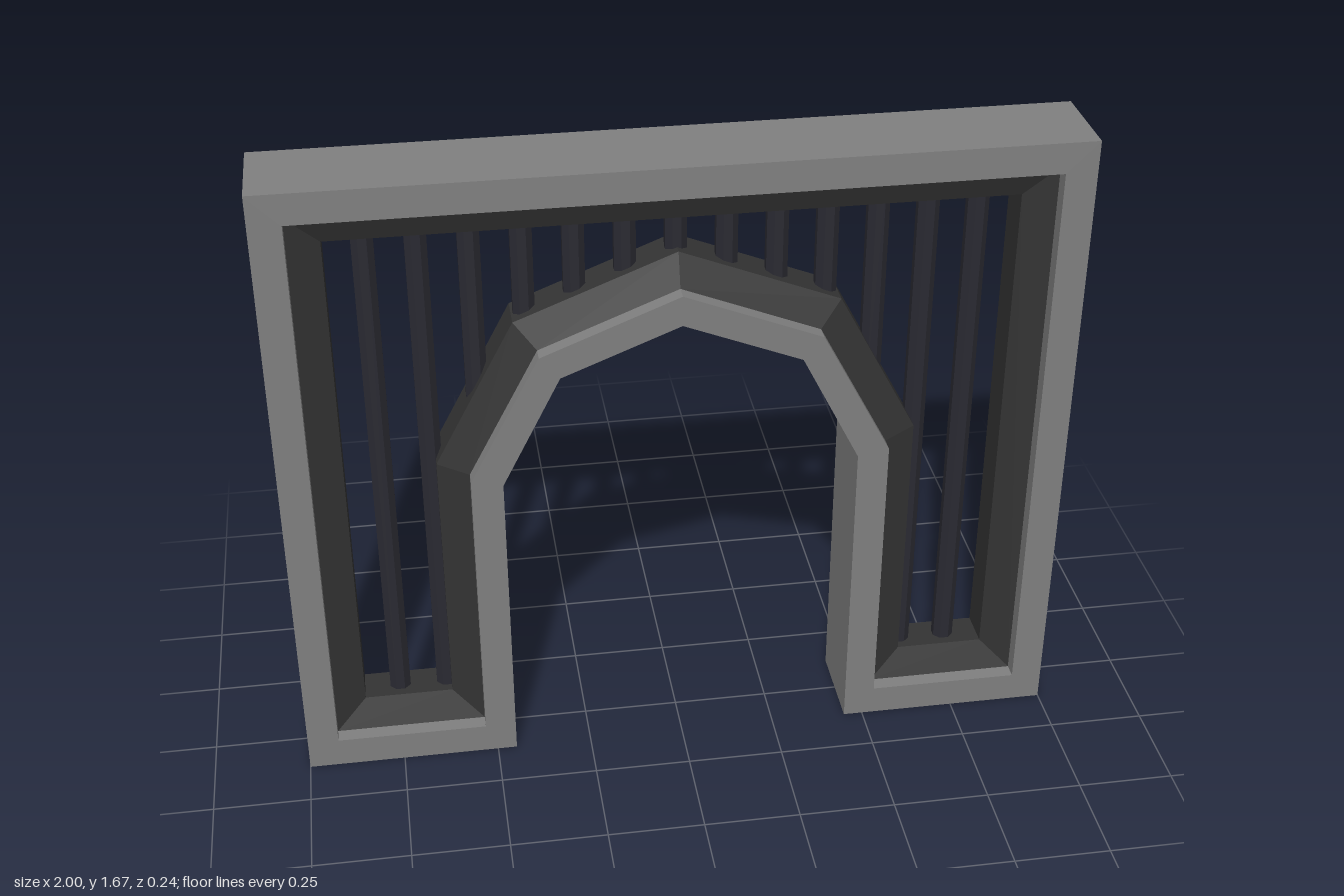
import * as THREE from 'three';

// Closed gateway outline: half the inner arch, mirrored, then the two top corners
function outline(outerX, bottom, top, arch) {
  const left = [[-outerX, bottom], ...arch.map(([x, y]) => [-x, y])];
  const right = left.slice().reverse().map(([x, y]) => [-x, y]);
  return [...left, ...right.slice(1), [outerX, top], [-outerX, top]];
}

const outer = outline(1, 0, 1.67, [[0.45, 0], [0.45, 0.84], [0.3, 1.135], [0, 1.255]]);
const opening = outline(0.92, 0.08, 1.59, [[0.53, 0.08], [0.53, 0.855], [0.35, 1.195], [0, 1.335]]);
const inset = outline(0.84, 0.16, 1.51, [[0.61, 0.16], [0.61, 0.875], [0.405, 1.26], [0, 1.42]]);

// Flat-shaded skin over a series of loops, each given as [points, z]
function loft(loops) {
  const pos = [];
  for (let k = 0; k < loops.length - 1; k++) {
    const [a, za] = loops[k];
    const [b, zb] = loops[k + 1];
    for (let i = 0; i < a.length; i++) {
      const j = (i + 1) % a.length;
      const p = [...a[i], za], q = [...a[j], za], r = [...b[j], zb], s = [...b[i], zb];
      pos.push(...p, ...q, ...r, ...p, ...r, ...s);
    }
  }
  const geo = new THREE.BufferGeometry();
  geo.setAttribute('position', new THREE.Float32BufferAttribute(pos, 3));
  geo.computeVertexNormals();
  return geo;
}

// Height where a bar at x meets the middle of the inner trim
function barBottom(x) {
  const ax = Math.abs(x);
  const pts = [[0, 1.375], [0.375, 1.23], [0.57, 0.865]];
  for (let i = 0; i < 2; i++) {
    const [x0, y0] = pts[i], [x1, y1] = pts[i + 1];
    if (ax <= x1) return y0 + ((y1 - y0) * (ax - x0)) / (x1 - x0);
  }
  return 0.12;
}

export function createModel() {
  const group = new THREE.Group();
  const add = (name, geo, mat, parent = group) => {
    const mesh = new THREE.Mesh(geo, mat);
    mesh.name = name;
    parent.add(mesh);
    return mesh;
  };
  const stone = new THREE.MeshStandardMaterial({ color: 0x808080, flatShading: true });
  const dark = new THREE.MeshStandardMaterial({ color: 0x333333, flatShading: true });
  const iron = new THREE.MeshStandardMaterial({ color: 0x2a2a32, flatShading: true });

  // Outer frame with an arched doorway
  const toVec = (pts) => pts.map(([x, y]) => new THREE.Vector2(x, y));
  const shape = new THREE.Shape(toVec(outer));
  shape.holes.push(new THREE.Path(toVec(opening)));
  const frameGeo = new THREE.ExtrudeGeometry(shape, { depth: 0.24, bevelEnabled: false });
  frameGeo.translate(0, 0, -0.12);
  add('outerFrame', frameGeo, stone);

  // Recessed trim, bevelled towards the opening on both faces
  add('innerTrim', loft([[opening, 0.08], [inset, 0.05], [inset, -0.05], [opening, -0.08]]), dark);

  // Vertical bars
  const bars = new THREE.Group();
  bars.name = 'bars';
  group.add(bars);
  const top = 1.55;
  for (let i = -6; i <= 6; i++) {
    const x = i * 0.1243;
    const y = barBottom(x);
    const geo = new THREE.CylinderGeometry(0.029, 0.029, top - y, 8);
    geo.rotateY(Math.PI / 8);
    add('bar', geo, iron, bars).position.set(x, (top + y) / 2, 0);
  }
  return group;
}
